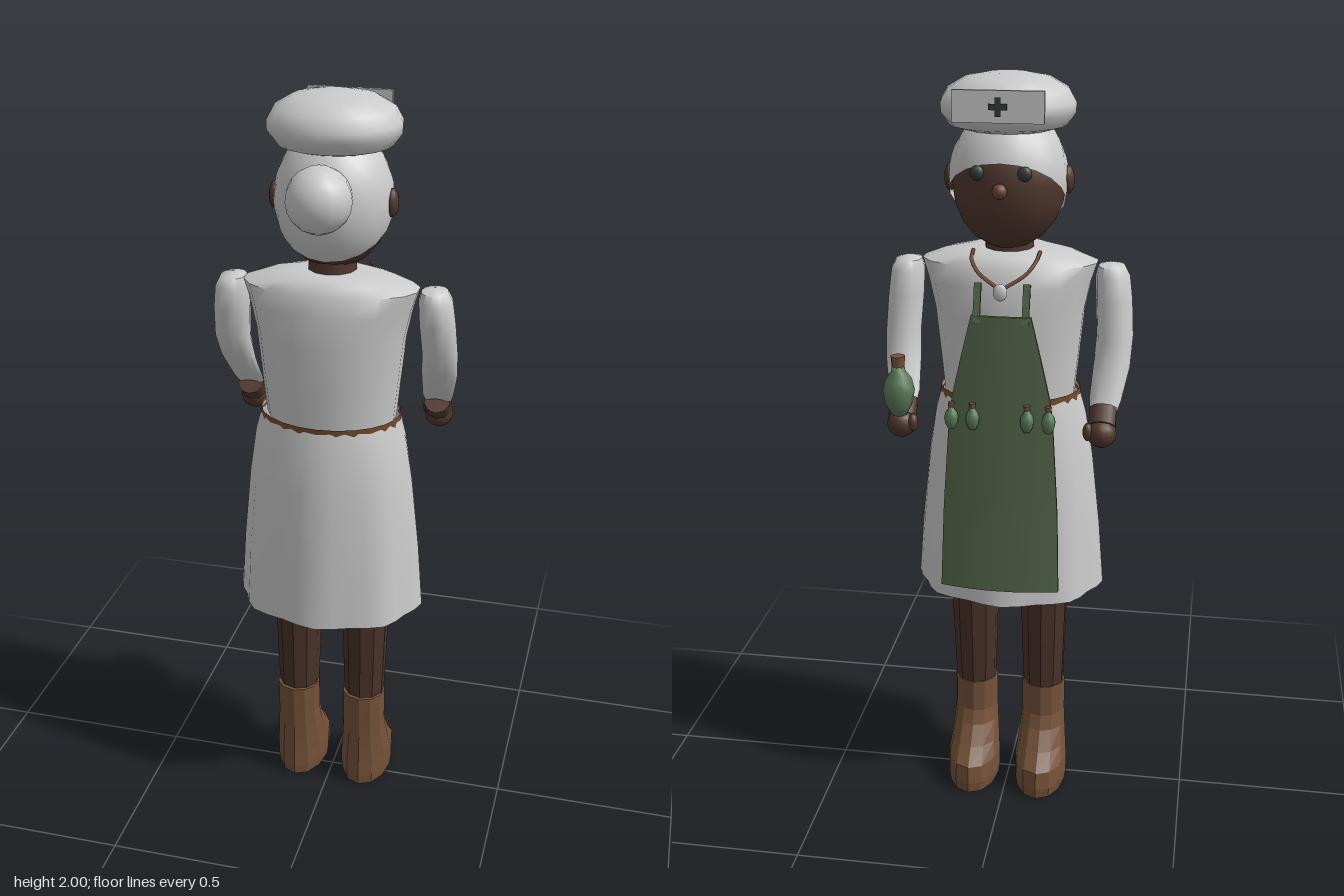
import * as THREE from 'three';
import { toCreasedNormals } from 'three/addons/utils/BufferGeometryUtils.js';

const mat = (color, opts = {}) => new THREE.MeshStandardMaterial({ color, ...opts });
const CLOTH = mat(0xcccccc, { side: THREE.DoubleSide });
const SKIN = mat(0x50372d);
const LEATHER = mat(0x75523a);
const BOOT = mat(0x75523a, { flatShading: true });
const GREEN = mat(0x526548);
const GLASS = mat(0x5a7a58);
const DARK = mat(0x353c38);
const NOSE = mat(0x6b4334);

// Rings [x, y, z, rx, rz, tilt] joined from bottom to top; fold(angle, v) ripples the radius
function loft(rings, seg = 14, fold = () => 1) {
  const pos = [], idx = [];
  rings.forEach(([x, y, z, rx, rz, tilt = 0], j) => {
    for (let i = 0; i < seg; i++) {
      const a = (i / seg) * Math.PI * 2;
      const f = fold(a, j / (rings.length - 1));
      const dz = Math.cos(a) * rz * f;
      pos.push(x + Math.sin(a) * rx * f, y + dz * Math.sin(tilt), z + dz * Math.cos(tilt));
    }
  });
  for (let j = 0; j < rings.length - 1; j++)
    for (let i = 0; i < seg; i++) {
      const a = j * seg + i, b = j * seg + (i + 1) % seg;
      idx.push(a, b, b + seg, a, b + seg, a + seg);
    }
  const g = new THREE.BufferGeometry();
  g.setAttribute('position', new THREE.Float32BufferAttribute(pos, 3));
  g.setIndex(idx);
  return toCreasedNormals(g, 0.9);
}

const lerpTable = (table, y) => {
  for (let i = 0; i < table.length - 1; i++) {
    const [y0, ...a] = table[i], [y1, ...b] = table[i + 1];
    if (y <= y1 || i === table.length - 2) {
      const t = (y - y0) / (y1 - y0);
      return a.map((v, k) => v + (b[k] - v) * t);
    }
  }
};

// Apron rows: height, half width, depth at the centre
const APRON = [[0.68, 0.157, -0.194], [0.9, 0.15, -0.178], [1.18, 0.132, -0.162], [1.3, 0.105, -0.155], [1.42, 0.076, -0.147]];

export function createModel() {
  const root = new THREE.Group();
  const add = (name, geo, material, x = 0, y = 0, z = 0, parent = root) => {
    const m = new THREE.Mesh(geo, material);
    m.name = name;
    m.position.set(x, y, z);
    parent.add(m);
    return m;
  };
  const ball = (name, material, x, y, z, rx, ry = rx, rz = rx, parent = root) =>
    add(name, new THREE.SphereGeometry(1, 14, 10).scale(rx, ry, rz), material, x, y, z, parent);

  // Head, hair and bun
  ball('head', SKIN, 0, 1.74, -0.015, 0.145, 0.175, 0.143);
  const hair = new THREE.SphereGeometry(1, 20, 12, 0, Math.PI * 2, 0, 1.83);
  hair.rotateX(0.6).scale(0.15, 0.179, 0.148);
  add('hair', hair, CLOTH, 0, 1.74, -0.015);
  ball('hairBun', CLOTH, 0, 1.775, 0.133, 0.082);
  ball('nose', NOSE, 0, 1.735, -0.162, 0.019);
  add('neck', new THREE.CylinderGeometry(0.06, 0.065, 0.1, 12), SKIN, 0, 1.57, 0);

  // Soft round cap with a badge plate
  const capProfile = [[0, 1.865], [0.1, 1.862], [0.145, 1.875], [0.167, 1.905], [0.168, 1.93], [0.15, 1.962], [0.105, 1.988], [0.05, 1.998], [0, 2]]
    .map(p => new THREE.Vector2(...p));
  add('cap', new THREE.LatheGeometry(capProfile, 20).scale(1, 1, 0.9), CLOTH, 0, 0, -0.023);
  const plate = new THREE.Group();
  plate.name = 'capPlate';
  plate.position.set(0, 1.937, -0.177);
  root.add(plate);
  add('plate', new THREE.BoxGeometry(0.22, 0.075, 0.012), CLOTH, 0, 0, 0, plate);
  add('crossBar', new THREE.BoxGeometry(0.044, 0.014, 0.006), DARK, 0, 0, -0.008, plate);
  add('crossPost', new THREE.BoxGeometry(0.014, 0.044, 0.006), DARK, 0, 0, -0.008, plate);

  // Blouse
  add('blouse', loft([
    [0, 1.17, 0.01, 0.172, 0.128], [0, 1.28, 0.012, 0.183, 0.133], [0, 1.4, 0.012, 0.195, 0.135],
    [0, 1.48, 0.012, 0.212, 0.132], [0, 1.53, 0.014, 0.228, 0.118], [0, 1.55, 0.016, 0.175, 0.105],
    [0, 1.565, 0.02, 0.1, 0.085], [0, 1.566, 0.01, 0.05, 0.05]], 18), CLOTH);

  // Open pleated skirt and belt
  const pleat = (a, v) => 1 + 0.035 * (1 - v) * Math.cos(a * 8);
  add('skirt', loft([
    [0, 0.62, 0.02, 0.25, 0.19], [0, 0.8, 0.02, 0.238, 0.184], [0, 1, 0.02, 0.218, 0.171],
    [0, 1.12, 0.02, 0.2, 0.158], [0, 1.185, 0.018, 0.183, 0.145]], 32, pleat), CLOTH);
  add('belt', loft([[0, 1.165, 0.018, 0.187, 0.147], [0, 1.19, 0.018, 0.186, 0.148]], 24),
    mat(0x75492f, { side: THREE.DoubleSide }));

  // Apron: thin panel shaped row by row and bowed round the body
  const apron = new THREE.BoxGeometry(2, 0.74, 0.01, 8, 14, 1).translate(0, 1.05, 0);
  const p = apron.attributes.position;
  for (let i = 0; i < p.count; i++) {
    const [w, z] = lerpTable(APRON, p.getY(i));
    const x = p.getX(i) * w;
    p.setXYZ(i, x, p.getY(i), p.getZ(i) + z + 0.8 * x * x);
  }
  add('apron', toCreasedNormals(apron, 0.6), GREEN);

  // Potion flask shape, also used small for the vials on the apron
  const flask = (name, x, y, z, s) => {
    const g = new THREE.Group();
    g.name = name;
    g.position.set(x, y, z);
    g.scale.setScalar(s);
    root.add(g);
    const prof = [[0, -0.07], [0.02, -0.065], [0.035, -0.035], [0.041, 0], [0.034, 0.03], [0.018, 0.052], [0.016, 0.065], [0, 0.065]];
    add('glass', new THREE.LatheGeometry(prof.map(q => new THREE.Vector2(...q)), 10), GLASS, 0, 0, 0, g);
    add('cork', new THREE.CylinderGeometry(0.019, 0.016, 0.032, 8), LEATHER, 0, 0.075, 0, g);
  };
  flask('heldFlask', 0.258, 1.225, -0.178, 1);

  // Pendant
  ball('pendant', CLOTH, 0, 1.485, -0.157, 0.018, 0.022, 0.01);

  for (const s of [-1, 1]) {
    // Face details
    ball('eye', DARK, s * 0.058, 1.775, -0.142, 0.018, 0.018, 0.012);
    ball('ear', SKIN, s * 0.148, 1.74, -0.008, 0.016, 0.036, 0.025);

    // Apron strap, necklace cord and vials
    const strap = add('apronStrap', new THREE.BoxGeometry(0.018, 0.1, 0.008), GREEN, s * 0.062, 1.45, -0.134);
    strap.rotation.x = 0.3;
    const cord = new THREE.CatmullRomCurve3([[0.085, 1.565, -0.05], [0.08, 1.55, -0.1], [0.06, 1.525, -0.125], [0, 1.49, -0.155]]
      .map(([x, y, z]) => new THREE.Vector3(s * x, y, z)));
    add('necklaceCord', new THREE.TubeGeometry(cord, 10, 0.005, 5), LEATHER);
    for (const x of [0.07, 0.125]) flask('vial', s * x, 1.155, -0.168, 0.45);

    // Bent sleeve, cuff, hand
    add('sleeve', loft([
      [s * 0.259, 1.165, -0.125, 0.032, 0.032, 0.75], [s * 0.262, 1.2, -0.1, 0.041, 0.042, 0.65],
      [s * 0.272, 1.275, -0.052, 0.047, 0.05, 0.5], [s * 0.276, 1.35, -0.022, 0.047, 0.053, 0.22],
      [s * 0.27, 1.44, -0.006, 0.047, 0.057, 0.05], [s * 0.265, 1.5, 0, 0.044, 0.057],
      [s * 0.262, 1.525, 0, 0.034, 0.044], [s * 0.262, 1.535, 0, 0.002, 0.002]], 12), CLOTH);
    const cuff = add('wrist', new THREE.CylinderGeometry(0.036, 0.036, 0.05, 10), SKIN, s * 0.259, 1.16, -0.128);
    cuff.rotation.x = 0.75;
    ball('hand', SKIN, s * 0.259, 1.127, -0.15, 0.038, 0.038, 0.04);
    ball('thumb', SKIN, s * 0.225, 1.135, -0.168, 0.013, 0.024, 0.017);

    // Leg and boot
    const x = s * 0.097;
    add('leg', loft([[x, 0.27, 0.01, 0.056, 0.058], [x, 0.45, 0.006, 0.062, 0.066], [x, 0.75, 0, 0.07, 0.075]], 10),
      mat(0x493229, { flatShading: true, side: THREE.DoubleSide }));
    add('boot', loft([
      [x, 0, -0.038, 0.002, 0.002], [x, 0, -0.038, 0.07, 0.116], [x, 0.03, -0.039, 0.074, 0.119],
      [x, 0.08, -0.036, 0.074, 0.114], [x, 0.12, -0.015, 0.069, 0.091], [x, 0.17, 0.004, 0.064, 0.07],
      [x, 0.21, 0.012, 0.061, 0.063], [x, 0.305, 0.013, 0.061, 0.065], [x, 0.305, 0.013, 0.04, 0.04]], 12), BOOT);
  }
  return root;
}
